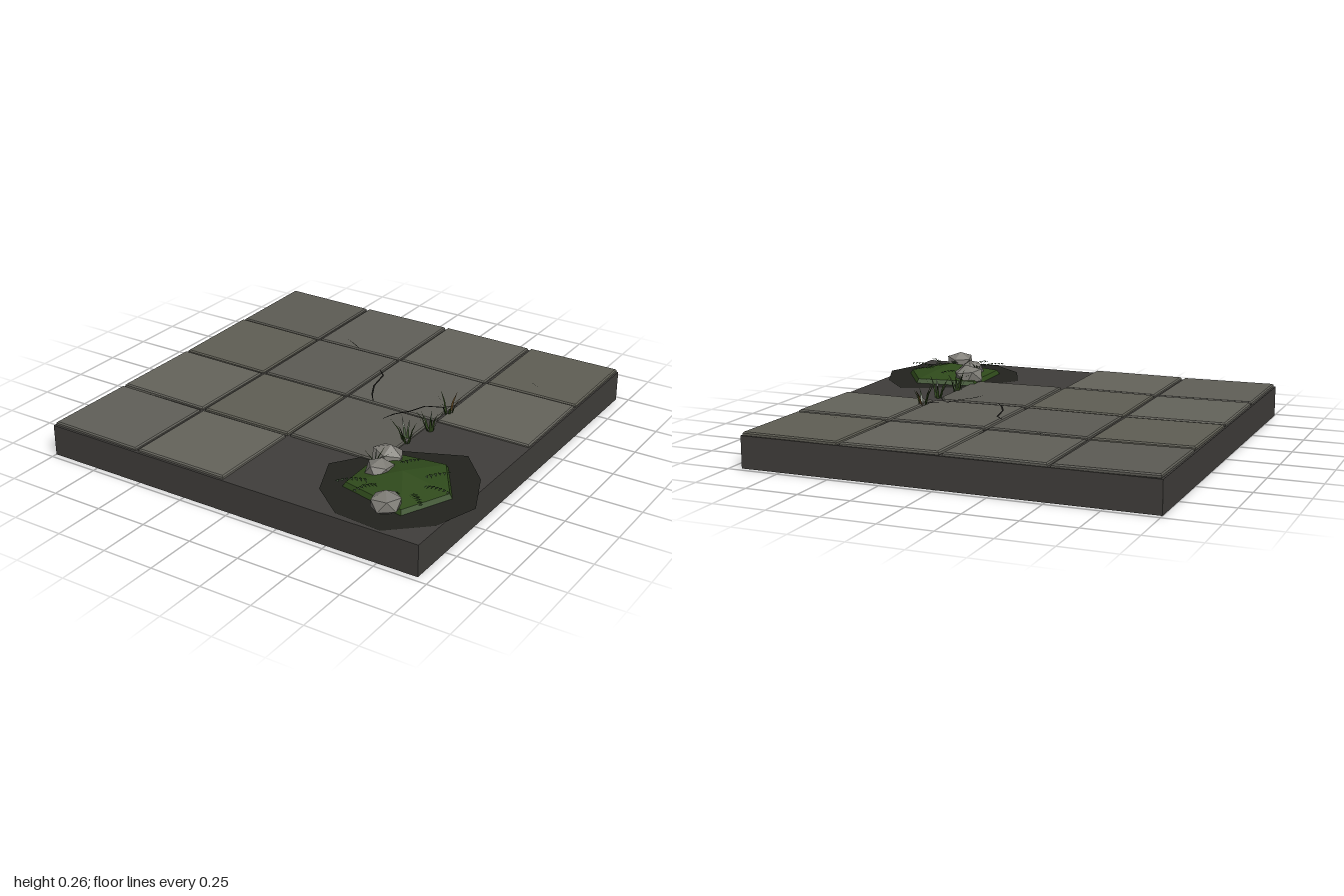
import * as THREE from 'three';

const mat = (color, double = false) => new THREE.MeshStandardMaterial({
  color, flatShading: true, roughness: 1, side: double ? THREE.DoubleSide : THREE.FrontSide,
});

function mesh(name, geometry, material) {
  const m = new THREE.Mesh(geometry, material);
  m.name = name;
  return m;
}

function fromTriangles(points) {
  const g = new THREE.BufferGeometry().setFromPoints(points);
  g.computeVertexNormals();
  return g;
}

const V = (x, y, z) => new THREE.Vector3(x, y, z);

// One bent, tapering blade as three triangles
function blade(out, base, angle, reach, height, width) {
  const dx = Math.cos(angle), dz = Math.sin(angle);
  const at = (t, h, w) => V(base.x + dx * reach * t - dz * w, base.y + height * h, base.z + dz * reach * t + dx * w);
  const a = at(0, 0, -width), b = at(0, 0, width);
  const c = at(0.35, 0.55, -width * 0.7), d = at(0.35, 0.55, width * 0.7), tip = at(1, 1, 0);
  out.push(a, b, d, a, d, c, c, d, tip);
}

// Bevelled paving slab, optionally with its back right corner broken off
function slabGeometry(chipped) {
  const h = 0.229, s = new THREE.Shape();
  s.moveTo(-h, -h);
  s.lineTo(h, -h);
  if (chipped) {
    s.lineTo(h, h - 0.05);
    s.lineTo(h - 0.035, h);
  } else s.lineTo(h, h);
  s.lineTo(-h, h);
  s.closePath();
  return new THREE.ExtrudeGeometry(s, {
    depth: 0.01, bevelEnabled: true, bevelSize: 0.006, bevelThickness: 0.006, bevelSegments: 1,
  }).rotateX(-Math.PI / 2);
}

// Thin flat ribbon following a crack on the slabs
function crackGeometry(path, width) {
  const out = [];
  for (let i = 0; i < path.length - 1; i++) {
    const [x0, z0] = path[i], [x1, z1] = path[i + 1];
    const l = Math.hypot(x1 - x0, z1 - z0), nx = -(z1 - z0) / l, nz = (x1 - x0) / l;
    const w0 = width * (i ? 1 : 0.3), w1 = width * (i < path.length - 2 ? 1 : 0.3);
    const p = (x, z, w) => V(x + nx * w, 0.17, z + nz * w);
    const a = p(x0, z0, -w0), b = p(x0, z0, w0), c = p(x1, z1, w1), d = p(x1, z1, -w1);
    out.push(a, b, c, a, c, d);
  }
  return fromTriangles(out);
}

// Arching frond with paired leaflets
function fern(out, x, z, angle, length) {
  const n = 8;
  const point = (t) => V(x + Math.cos(angle) * length * t, 0.185 + 0.07 * t - 0.055 * t * t, z + Math.sin(angle) * length * t);
  for (let i = 0; i < n; i++) {
    const p = point(i / n), q = point((i + 1) / n);
    const side = V(-Math.sin(angle), 0, Math.cos(angle)).multiplyScalar(0.003);
    out.push(p.clone().sub(side), p.clone().add(side), q);
    const leaf = 0.03 * (1 - 0.6 * i / n);
    for (const s of [-1, 1]) {
      const tip = p.clone().addScaledVector(side, s * leaf / 0.003).lerp(q, 0.2);
      tip.y -= 0.006;
      out.push(p, p.clone().lerp(q, 0.7), tip);
    }
  }
}

export function createModel() {
  const model = new THREE.Group();
  model.name = 'ruinedPavement';

  // Base block
  const base = mesh('base', new THREE.BoxGeometry(1.945, 0.15, 1.946), mat(0x403e3b));
  base.position.set(-0.0275, 0.075, 0);
  model.add(base);

  // Slabs, each a little uneven, with three missing at the front left corner
  const slabs = new THREE.Group();
  slabs.name = 'slabs';
  const tints = [0x5c5b54, 0x605f58, 0x64635b, 0x5f5e54];
  for (let row = 0; row < 4; row++) {
    for (let col = 0; col < 4; col++) {
      if ((row === 2 && col === 3) || (row === 3 && col > 1)) continue;
      const slab = mesh('slab', slabGeometry(row === 2 && col === 2), mat(tints[(row * 3 + col) % 4]));
      slab.position.set(-0.757 + col * 0.4865, 0.148, -0.732 + row * 0.4865);
      slab.rotation.set(row < 2 ? 0.01 : -0.003, 0, col % 2 ? 0.002 : -0.01);
      slabs.add(slab);
    }
  }
  model.add(slabs);

  // Cracks
  const cracks = [
    [[-0.035, -0.32], [0.01, -0.275], [0.035, -0.15], [0.075, -0.07], [0.12, -0.005]],
    [[0.47, -0.17], [0.435, -0.125], [0.355, -0.09], [0.325, -0.01], [0.275, 0.06], [0.255, 0.13]],
    [[-0.37, -0.55], [-0.315, -0.52], [-0.265, -0.487]],
    [[0.66, -0.59], [0.71, -0.565]],
  ];
  cracks.forEach((path, i) => model.add(mesh('crack', crackGeometry(path, i < 2 ? 0.004 : 0.002), mat(0x151513, true))));

  // Soil patch, overhanging the edge slightly
  const soilShape = new THREE.Shape([[0.27, 0.6], [0.36, 0.81], [0.53, 0.945], [0.76, 0.965], [0.93, 0.81],
    [1, 0.6], [0.9, 0.37], [0.75, 0.21], [0.45, 0.34]].map(([x, z]) => new THREE.Vector2(x, -z)));
  const soil = mesh('soil', new THREE.ShapeGeometry(soilShape).rotateX(-Math.PI / 2), mat(0x22231e, true));
  soil.position.y = 0.153;
  model.add(soil);

  // Moss mound: rim, shoulder and peak
  const rim = [[0.42, 0.39], [0.73, 0.35], [0.88, 0.58], [0.77, 0.82], [0.43, 0.74]];
  const peak = V(0.64, 0.222, 0.59), moss = [];
  const ring = (k, y) => rim.map(([x, z]) => V(peak.x + (x - peak.x) * k, y, peak.z + (z - peak.z) * k));
  const low = ring(1, 0.15), mid = ring(0.94, 0.174);
  for (let i = 0; i < 5; i++) {
    const j = (i + 1) % 5;
    moss.push(low[i], mid[i], mid[j], low[i], mid[j], low[j], mid[i], peak, mid[j]);
  }
  model.add(mesh('moss', fromTriangles(moss), mat(0x2f4a1b, true)));

  // Rocks
  const rocks = [
    [0.485, 0.19, 0.46, 0.085, 0.058, 0.068, 0.4],
    [0.525, 0.197, 0.59, 0.066, 0.05, 0.072, 1.3],
    [0.695, 0.193, 0.815, 0.074, 0.05, 0.08, 2.2],
  ];
  for (const [x, y, z, sx, sy, sz, turn] of rocks) {
    const rock = mesh('rock', new THREE.IcosahedronGeometry(1, 0).rotateZ(0.35).rotateY(turn), mat(0x7d7b75));
    rock.scale.set(sx, sy, sz);
    rock.position.set(x, y, z);
    model.add(rock);
  }

  // Grass tufts along the broken edge
  const tufts = [[0.47, -0.11], [0.48, 0.08], [0.45, 0.24]];
  tufts.forEach(([x, z], k) => {
    const out = [], dry = [];
    for (let i = 0; i < 7; i++) {
      const a = i * 2.4 + k;
      const p = V(x + 0.015 * Math.cos(a), 0.15, z + 0.015 * Math.sin(a));
      blade(k === 0 && i % 3 === 2 ? dry : out, p, a, 0.035 + 0.01 * (i % 4), 0.075 + 0.017 * ((i * 2 + k) % 3), 0.007);
    }
    model.add(mesh('grassTuft', fromTriangles(out), mat(0x2c4219, true)));
    if (dry.length) model.add(mesh('dryGrass', fromTriangles(dry), mat(0x5c4420, true)));
  });

  // Small tuft between the rocks
  const sprig = [];
  for (let i = 0; i < 9; i++) blade(sprig, V(0.49, 0.19, 0.57), i * 2.4, 0.05 + 0.012 * (i % 3), 0.045 + 0.012 * (i % 3), 0.004);
  model.add(mesh('grassSprig', fromTriangles(sprig), mat(0x273a17, true)));

  // Ferns spreading over the moss
  const fronds = [[0.55, 0.54, -0.95, 0.14], [0.7, 0.58, -0.85, 0.16], [0.74, 0.61, 0.05, 0.15], [0.74, 0.68, 0.75, 0.14],
    [0.68, 0.7, 1.2, 0.13], [0.58, 0.69, 1.9, 0.14], [0.54, 0.68, 2.4, 0.16], [0.53, 0.5, -2.2, 0.12]];
  const leaves = [];
  fronds.forEach((f) => fern(leaves, ...f));
  model.add(mesh('ferns', fromTriangles(leaves), mat(0x22361a, true)));

  return model;
}
